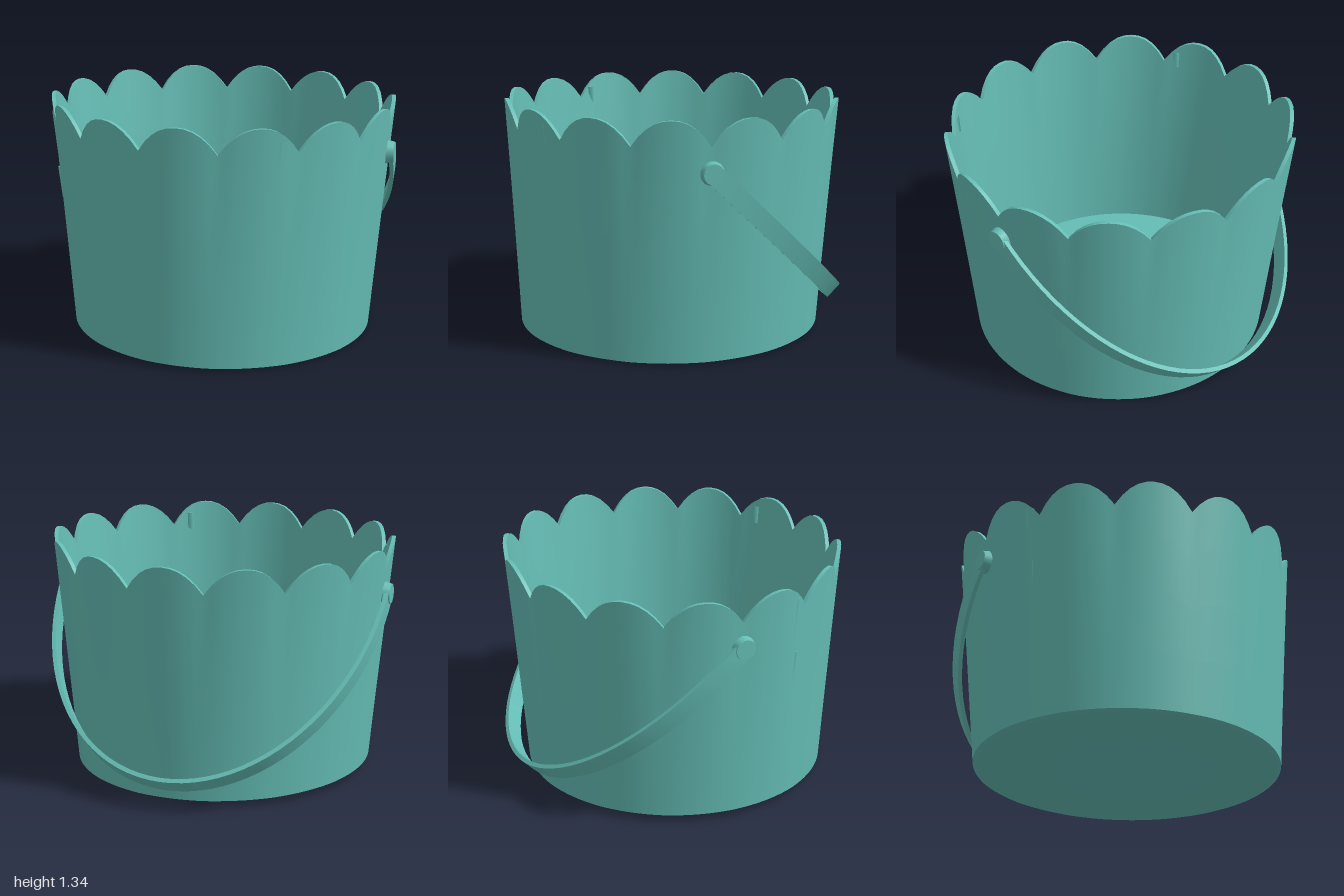
import * as THREE from 'three';
import { toCreasedNormals, mergeVertices } from 'three/addons/utils/BufferGeometryUtils.js';

const LOBES = 14, STEPS = 10, PHASE = 0.063;

// Skin a grid of points: rows(j) by columns(i); every row is a closed loop of points when wrap is set
function skin(rows, wrap) {
  const n = rows[0].length, pos = [], idx = [];
  rows.forEach(r => r.forEach(p => pos.push(p.x, p.y, p.z)));
  for (let j = 0; j < rows.length - 1; j++) {
    for (let i = 0; i < (wrap ? n : n - 1); i++) {
      const k = (i + 1) % n;
      const a = j * n + i, b = j * n + k, c = b + n, d = a + n;
      idx.push(a, b, c, a, c, d);
    }
  }
  const g = new THREE.BufferGeometry();
  g.setAttribute('position', new THREE.Float32BufferAttribute(pos, 3));
  g.setIndex(idx);
  return toCreasedNormals(mergeVertices(g, 1e-5), 0.7);
}

// Bucket shell: underside, outer wall, scalloped rim, inner wall and floor in one surface
function bucketGeometry() {
  // [height fraction, inset from outer wall, radius factor, floor lift]
  const profile = [
    [0, 0, 0, 0], [0, 0, 0.97, 0], [0.008, 0, 1, 0], [0.25, 0, 1, 0], [0.5, 0, 1, 0], [0.75, 0, 1, 0], [1, 0, 1, 0],
    [1, 0.022, 1, 0], [0.75, 0.03, 1, 0], [0.5, 0.035, 1, 0], [0.25, 0.035, 1, 0], [0, 0.035, 1, 0.035], [0, 0, 0, 0.035],
  ];
  const rows = profile.map(([f, inset, k, lift]) => {
    const row = [];
    for (let i = 0; i < LOBES * STEPS; i++) {
      const a = PHASE + (i / (LOBES * STEPS)) * Math.PI * 2;
      const u = ((i % STEPS) / STEPS) * 2 - 1;
      const lobe = 1 - Math.pow(Math.abs(u), 2.2);
      const base = 0.017 - 0.015 * Math.sin(a) * k;       // the base sits slightly askew
      const y = base + lift + f * (1.2 + 0.14 * lobe - base);
      const t = y / 1.34;
      const flute = 0.016 * (lobe - 0.5) * t * t;         // petals swell toward the rim
      const rx = (0.86 + 0.12 * t + flute - inset) * k;
      const rz = (0.868 + 0.077 * t + flute - inset) * k;
      row.push(new THREE.Vector3(rx * Math.sin(a) + 0.008 * (1 - t), y, rz * Math.cos(a) + 0.018 * (1 - t)));
    }
    return row;
  });
  return skin(rows, true);
}

export function createModel() {
  const model = new THREE.Group();
  const teal = new THREE.MeshStandardMaterial({ color: 0x65bdb5, side: THREE.DoubleSide });
  teal.name = 'teal';
  const add = (name, geometry) => {
    const mesh = new THREE.Mesh(geometry, teal);
    mesh.name = name;
    model.add(mesh);
    return mesh;
  };

  add('bucket', bucketGeometry());

  // Handle: flat strap on half an ellipse, hanging down against the back
  const across = new THREE.Vector3(0.96, 0, -0.28).normalize();
  const back = new THREE.Vector3(across.z, 0, -across.x);
  const pivot = new THREE.Vector3(0, 1.06, 0);
  const drop = back.clone().multiplyScalar(0.94).add(new THREE.Vector3(0, -0.91, 0));
  const normal = across.clone().cross(drop).normalize();
  const rows = [];
  for (let j = 0; j <= 48; j++) {
    const t = (j / 48) * Math.PI;
    const c = pivot.clone().addScaledVector(across, 0.975 * Math.cos(t)).addScaledVector(drop, Math.sin(t));
    const tangent = across.clone().multiplyScalar(-0.975 * Math.sin(t)).addScaledVector(drop, Math.cos(t)).normalize();
    const out = tangent.clone().cross(normal);
    rows.push([[-1, -1], [1, -1], [1, 1], [-1, 1]].map(([w, h]) =>
      c.clone().addScaledVector(normal, w * 0.052).addScaledVector(out, h * 0.012)));
  }
  add('handle', skin(rows, true));

  // Pivot knobs holding the strap ends
  for (const s of [1, -1]) {
    const knob = add(s > 0 ? 'leftPivot' : 'rightPivot', new THREE.CylinderGeometry(0.055, 0.07, 0.06, 16));
    knob.position.copy(pivot).addScaledVector(across, s * 0.962);
    knob.quaternion.setFromUnitVectors(new THREE.Vector3(0, 1, 0), across.clone().multiplyScalar(s));
  }

  // Narrow creases in the wall below the rim
  for (const [a, y, h] of [[0.86, 1.15, 0.24], [-0.93, 1.13, 0.26], [-0.9, 0.85, 0.18]]) {
    const crease = add('wallCrease', new THREE.CylinderGeometry(0.022, 0.014, h, 3));
    const r = 0.868 + 0.098 * y / 1.34 - 0.012;
    crease.position.set(r * Math.sin(a), y, r * Math.cos(a));
    crease.rotation.set(0.07, a, 0, 'YXZ');
  }
  return model;
}
